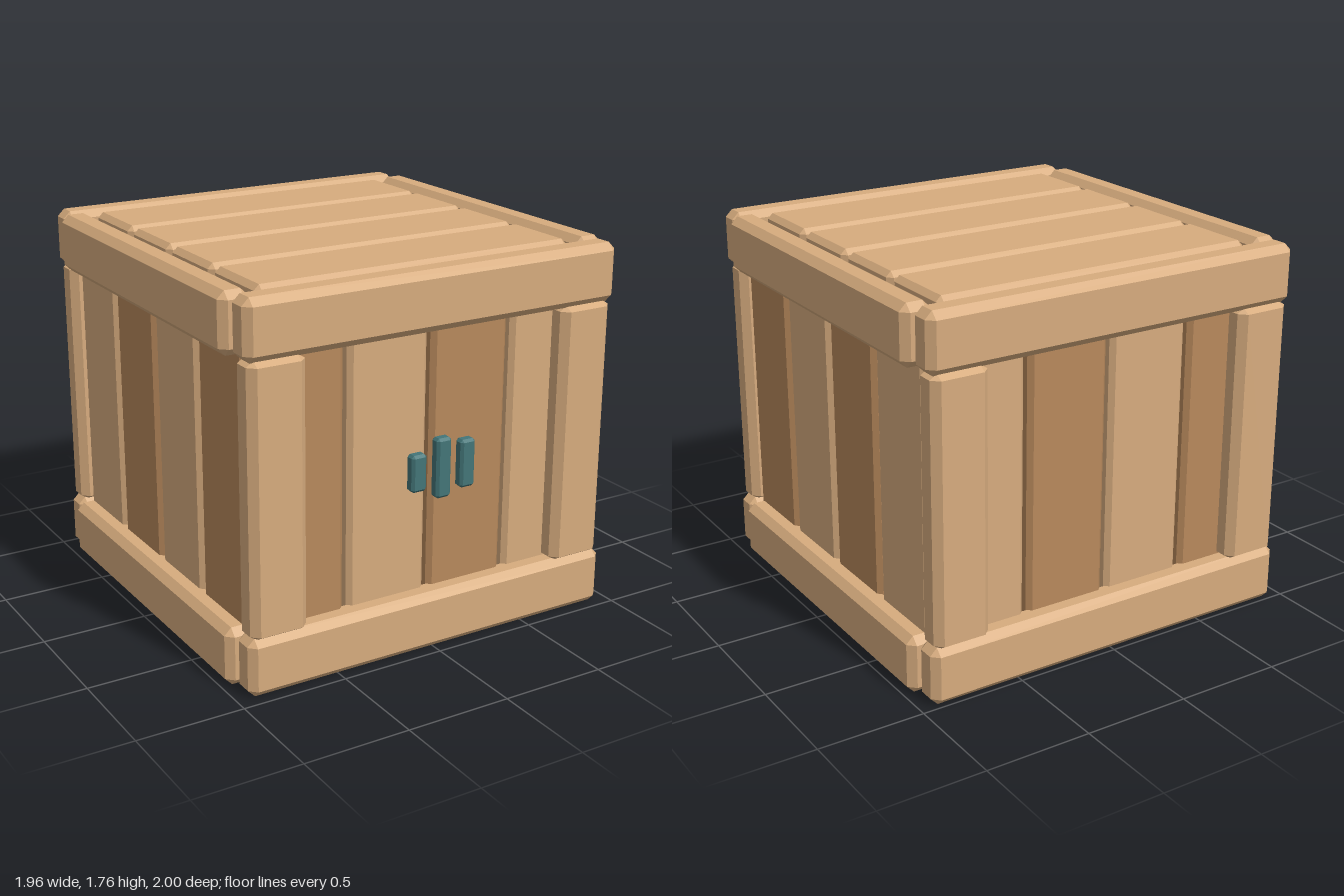
import * as THREE from 'three';
import { ConvexGeometry } from 'three/addons/geometries/ConvexGeometry.js';

const mat = (color) => new THREE.MeshStandardMaterial({ color, flatShading: true });

// Box between two corners with every edge cut by a flat chamfer (x, y, z insets)
function chamferBox(min, max, insets) {
  const half = max.map((m, i) => (m - min[i]) / 2);
  const points = [];
  for (const sx of [-1, 1]) for (const sy of [-1, 1]) for (const sz of [-1, 1])
    for (let full = 0; full < 3; full++) {
      const p = [sx, sy, sz].map((s, i) => s * (half[i] - (i === full ? 0 : insets[i])));
      points.push(new THREE.Vector3(...p));
    }
  const geometry = new ConvexGeometry(points);
  geometry.translate(...max.map((m, i) => (m + min[i]) / 2));
  return geometry;
}

export function createModel() {
  const model = new THREE.Group();
  model.name = 'woodenCrate';
  const wood = mat(0xd7ac7e), darkWood = mat(0xb8895c), teal = mat(0x437578);
  const railCut = [0.034, 0.034, 0.034], postCut = [0.035, 0.022, 0.035];
  const plankCut = [0.022, 0.022, 0.022], handleCut = [0.012, 0.012, 0.012];

  const add = (name, min, max, cut, material) => {
    const mesh = new THREE.Mesh(chamferBox(min, max, cut), material);
    mesh.name = name;
    model.add(mesh);
  };

  // Bottom and top frames
  for (const [level, y0, y1] of [['bottom', 0, 0.273], ['top', 1.49, 1.763]]) {
    add(level + 'FrontRail', [-0.945, y0, 0.822], [0.945, y1, 0.965], railCut, wood);
    add(level + 'BackRail', [-0.945, y0, -1], [0.945, y1, -0.858], railCut, wood);
    add(level + 'LeftRail', [0.838, y0, -0.858], [0.98, y1, 0.822], railCut, wood);
    add(level + 'RightRail', [-0.98, y0, -0.858], [-0.838, y1, 0.822], railCut, wood);
  }

  // Corner posts on the front and back
  for (const [side, x0, x1] of [['right', -0.93, -0.657], ['left', 0.655, 0.927]]) {
    add(side + 'FrontPost', [x0, 0.263, 0.822], [x1, 1.497, 0.965], postCut, wood);
    add(side + 'BackPost', [x0, 0.263, -1], [x1, 1.497, -0.858], postCut, wood);
  }

  for (let i = 0; i < 4; i++) {
    // Wall planks in alternating wood, let into the rails and open at the bottom
    const x = (i - 1.5) * 0.422, z = x - 0.013, w = 0.201;
    const y0 = 0.14, y1 = 1.62;
    const alongX = i % 2 ? wood : darkWood;
    const alongZ = i % 2 ? darkWood : wood;
    add('frontPlank', [x - w, y0, 0.735], [x + w, y1, 0.875], plankCut, alongX);
    add('backPlank', [x - w, y0, -0.91], [x + w, y1, -0.77], plankCut, alongX);
    add('leftPlank', [0.75, y0, z - w], [0.89, y1, z + w], plankCut, alongZ);
    add('rightPlank', [-0.89, y0, z - w], [-0.75, y1, z + w], plankCut, alongZ);

    // Lid planks, level with the top frame
    const lidZ = (i - 1.5) * 0.411 - 0.02;
    add('lidPlank', [-0.8, 1.62, lidZ - 0.194], [0.8, 1.76, lidZ + 0.194], [0.025, 0.025, 0.025], wood);
  }

  // Three small handles
  for (const [x, y0, y1] of [[-0.128, 0.797, 0.968], [0, 0.745, 1.022], [0.126, 0.77, 0.993]])
    add('handle', [x - 0.038, y0, 0.945], [x + 0.038, y1, 1], handleCut, teal);

  return model;
}
